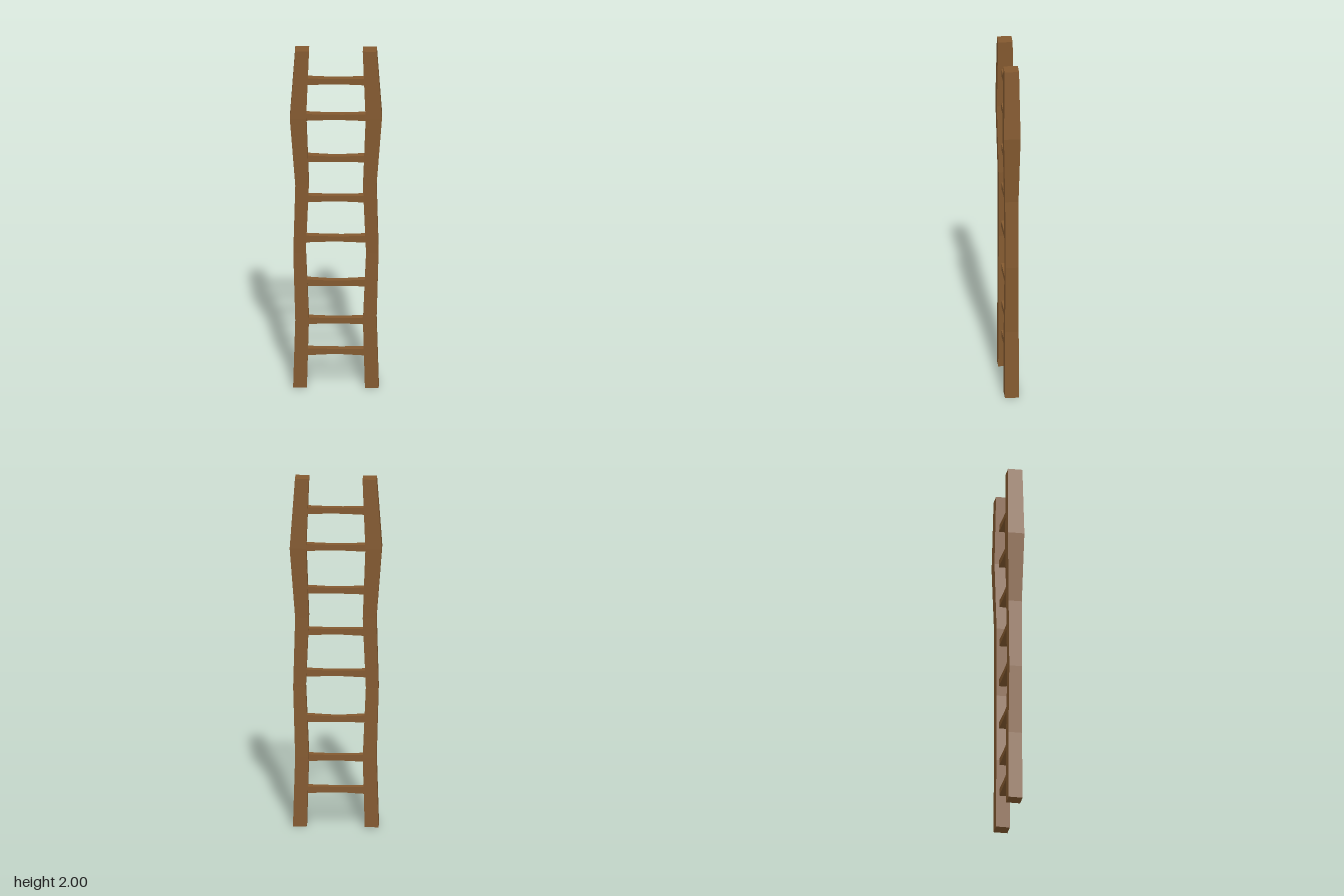
import * as THREE from 'three';

// Skins a row of rectangular sections [position, centre, halfA, halfB] along a box
function loftBox(sections, axis) {
  const geo = new THREE.BoxGeometry(1, 1, 1,
    axis === 'x' ? sections.length - 1 : 1,
    axis === 'y' ? sections.length - 1 : 1, 1);
  const p = geo.attributes.position;
  for (let i = 0; i < p.count; i++) {
    const along = axis === 'x' ? p.getX(i) : p.getY(i);
    const across = Math.sign(axis === 'x' ? p.getY(i) : p.getX(i));
    const k = Math.round((along + 0.5) * (sections.length - 1));
    const [at, centre, half, depth] = sections[k];
    const side = centre + across * half;
    const z = Math.sign(p.getZ(i)) * depth;
    if (axis === 'x') p.setXYZ(i, at, side, z);
    else p.setXYZ(i, side, at, z);
  }
  const flat = geo.toNonIndexed();
  flat.computeVertexNormals();
  return flat;
}

export function createModel() {
  const ladder = new THREE.Group();
  ladder.name = 'ladder';
  const wood = new THREE.MeshStandardMaterial({ color: 0x83592f, flatShading: true });
  wood.name = 'brown wood';

  // Crooked side rails: height, inner x, outer x, half depth
  const profile = [
    [0, 0.16, 0.236, 0.039],
    [0.4, 0.149, 0.224, 0.038],
    [0.8, 0.166, 0.235, 0.035],
    [1.2, 0.149, 0.224, 0.037],
    [1.6, 0.164, 0.254, 0.046],
    [2, 0.148, 0.225, 0.04],
  ];
  for (const side of [1, -1]) {
    const sections = profile.map(([y, inner, outer, d]) =>
      [y, side * (inner + outer) / 2, (outer - inner) / 2, d]);
    const rail = new THREE.Mesh(loftBox(sections, 'y'), wood);
    rail.name = side > 0 ? 'leftRail' : 'rightRail';
    ladder.add(rail);
  }

  // Rungs, slightly waisted; each is set a little differently: height, middle offset
  const rungs = [
    [0.206, 0.002], [0.391, 0], [0.617, -0.003], [0.877, 0],
    [1.115, 0.001], [1.354, -0.002], [1.6, 0], [1.812, 0],
  ];
  rungs.forEach(([y, dip], i) => {
    const geo = loftBox([
      [-0.167, 0, 0.02, 0.022],
      [-0.04, dip, 0.016, 0.019],
      [0.04, dip, 0.016, 0.019],
      [0.167, 0, 0.02, 0.021],
    ], 'x');
    const rung = new THREE.Mesh(geo, wood);
    rung.name = `rung${i + 1}`;
    rung.position.y = y;
    ladder.add(rung);
  });
  return ladder;
}
